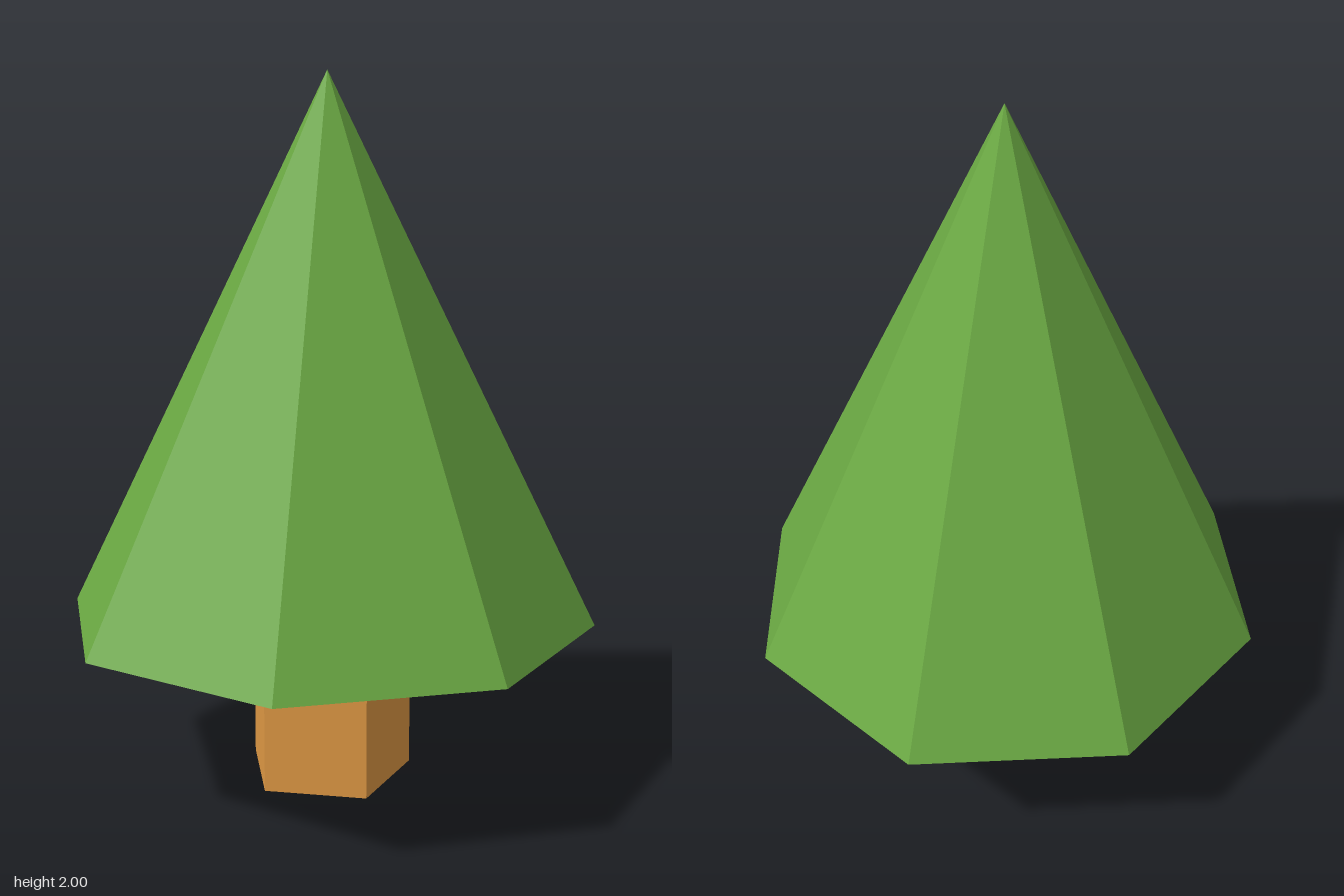
import * as THREE from 'three';

const TRUNK_HEIGHT = 0.475;
const TREE_HEIGHT = 2;

function addPart(group, name, geometry, color, y) {
  const material = new THREE.MeshStandardMaterial({ color, flatShading: true });
  const mesh = new THREE.Mesh(geometry, material);
  mesh.name = name;
  mesh.position.y = y;
  group.add(mesh);
}

export function createModel() {
  const tree = new THREE.Group();
  tree.name = 'tree';

  // Five-sided trunk, flat face to the front and one edge to the back
  const trunk = new THREE.CylinderGeometry(0.247, 0.247, TRUNK_HEIGHT, 5, 1, false, Math.PI);
  addPart(tree, 'trunk', trunk, 0xe09944, TRUNK_HEIGHT / 2);

  // Eight-sided cone of foliage with a closed underside
  const height = TREE_HEIGHT - TRUNK_HEIGHT;
  const foliage = new THREE.ConeGeometry(0.762, height, 8);
  addPart(tree, 'foliage', foliage, 0x6aa842, TRUNK_HEIGHT + height / 2);

  return tree;
}
